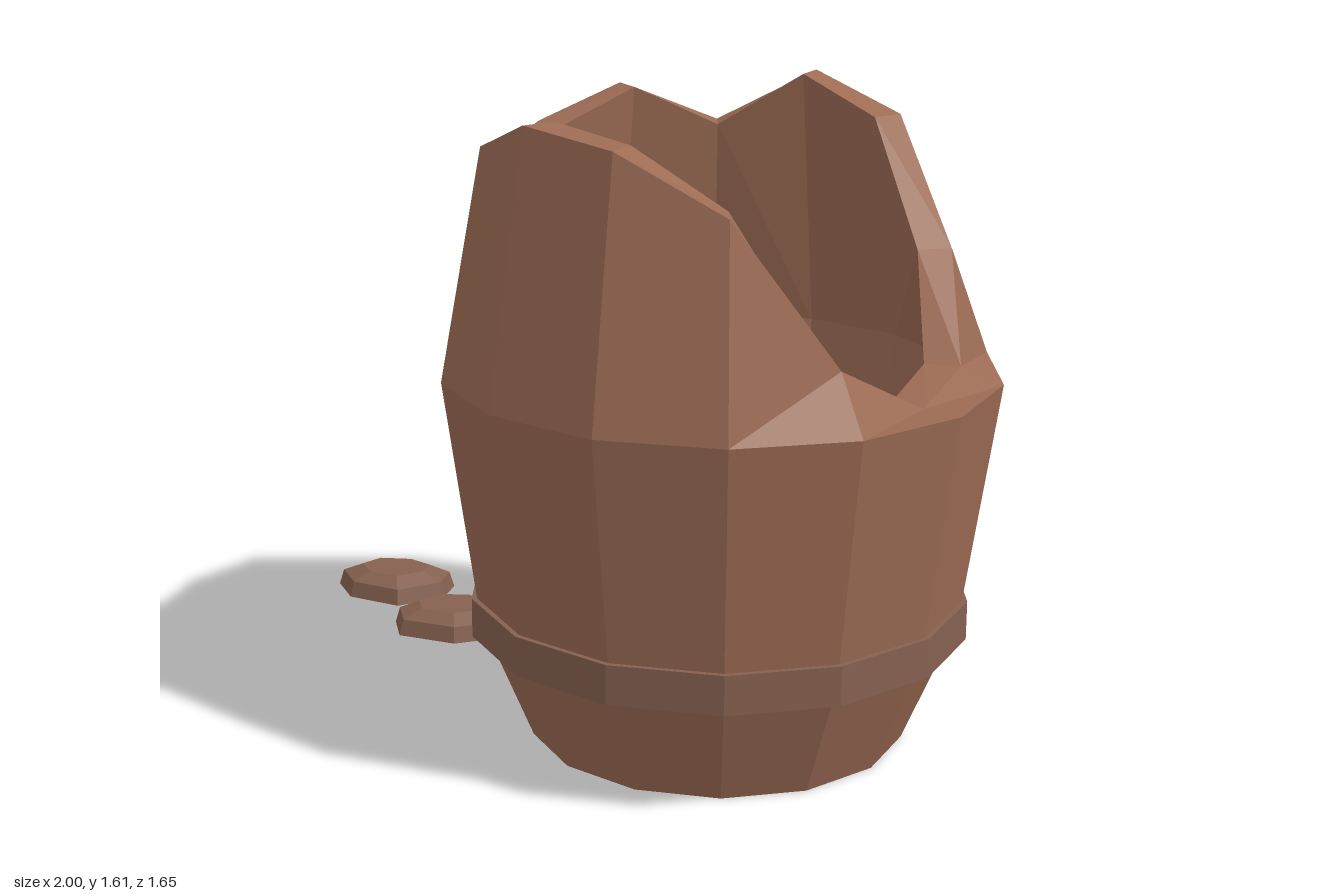
import * as THREE from 'three';

const SIDES = 14;
const CX = 0.297, CZ = 0.14;

// Horizontal ring of points; height may be one number or one per corner
function ring(radius, height) {
  return Array.from({ length: SIDES }, (_, k) => {
    const a = (k / SIDES) * Math.PI * 2;
    const y = Array.isArray(height) ? height[k] : height;
    return new THREE.Vector3(CX + radius * Math.cos(a), y, CZ + radius * Math.sin(a));
  });
}

// Skin successive rings, splitting each quad along its shorter diagonal
function skin(rings) {
  const pos = [];
  const tri = (...pts) => {
    if (new THREE.Triangle(...pts).getArea() > 1e-7) pts.forEach((p) => pos.push(p.x, p.y, p.z));
  };
  for (let i = 0; i < rings.length - 1; i++) {
    const lo = rings[i], hi = rings[i + 1], n = lo.length;
    for (let k = 0; k < n; k++) {
      const j = (k + 1) % n;
      const a = lo[k], b = lo[j], c = hi[j], d = hi[k];
      if (a.distanceTo(c) < b.distanceTo(d)) {
        tri(a, d, c);
        tri(a, c, b);
      } else {
        tri(a, d, b);
        tri(d, c, b);
      }
    }
  }
  const geo = new THREE.BufferGeometry();
  geo.setAttribute('position', new THREE.Float32BufferAttribute(pos, 3));
  geo.computeVertexNormals();
  return geo;
}

function part(name, geometry, color) {
  const mesh = new THREE.Mesh(geometry, new THREE.MeshStandardMaterial({ color, flatShading: true }));
  mesh.name = name;
  return mesh;
}

// Flat chip: outline scaled inwards as it rises
function chip(outline) {
  const cx = outline.reduce((s, p) => s + p[0], 0) / outline.length;
  const cz = outline.reduce((s, p) => s + p[1], 0) / outline.length;
  const levels = [[0, 0], [1, 0], [0.92, 0.045], [0.58, 0.07], [0, 0.07]];
  return skin(levels.map(([s, y]) => outline.map(([x, z]) =>
    new THREE.Vector3(cx + (x - cx) * s, y, cz + (z - cz) * s))));
}

export function createModel() {
  const model = new THREE.Group();
  model.name = 'brokenBarrel';

  // Barrel: outside wall, jagged rim, inside wall and floor
  const rim = [0.985, 0.945, 1.08, 1.44, 1.58, 1.61, 1.52, 1.44, 1.5, 1.575, 1.47, 1.61, 1.52, 1.22];
  model.add(part('barrelBody', skin([
    ring(0, 0), ring(0.48, 0), ring(0.612, 0.32), ring(0.7, 0.945),
    ring(0.595, rim), ring(0.505, rim),
    ring(0.6, 0.935), ring(0.515, 0.33), ring(0.375, 0.06), ring(0, 0.06),
  ]), 0x9c6b54));

  // Hoop round the lower body
  model.add(part('hoop', skin([
    ring(0.59, 0.28), ring(0.634, 0.28), ring(0.634, 0.38), ring(0.6, 0.38),
  ]), 0x85604f));

  // Broken pieces on the ground
  const chips = new THREE.Group();
  chips.name = 'brokenPieces';
  [
    [[-1, -0.58], [-0.94, -0.68], [-0.78, -0.7], [-0.66, -0.64], [-0.66, -0.54], [-0.77, -0.44], [-0.93, -0.48]],
    [[-0.545, -0.69], [-0.5, -0.79], [-0.35, -0.83], [-0.24, -0.75], [-0.235, -0.64], [-0.35, -0.57], [-0.5, -0.6]],
    [[-0.735, -0.32], [-0.665, -0.43], [-0.52, -0.455], [-0.4, -0.38], [-0.4, -0.27], [-0.52, -0.195], [-0.69, -0.22]],
  ].forEach((outline, i) => chips.add(part(`piece${i + 1}`, chip(outline), 0x85604f)));
  model.add(chips);

  return model;
}
